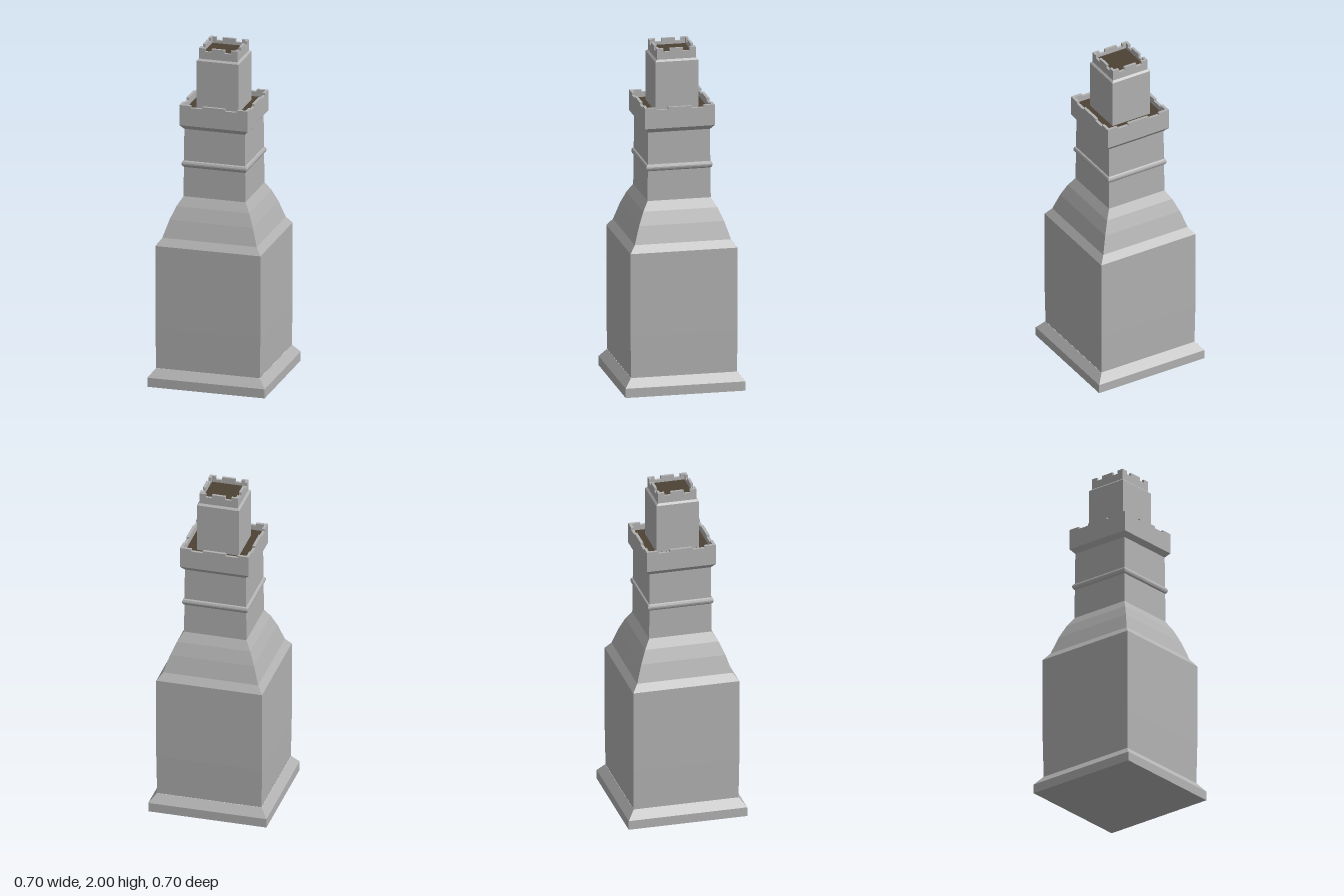
import * as THREE from 'three';

const stone = new THREE.MeshStandardMaterial({ color: 0xb2b2b2 });
stone.name = 'stone';
const roof = new THREE.MeshStandardMaterial({ color: 0x4c4235 });
roof.name = 'dark roof';

function part(name, geometry, material = stone) {
  const mesh = new THREE.Mesh(geometry, material);
  mesh.name = name;
  return mesh;
}

// Square tower section from a profile of [half width, height] pairs
function squareLoft(name, profile) {
  const points = profile.map(([half, y]) => new THREE.Vector2(half * Math.SQRT2, y));
  const geometry = new THREE.LatheGeometry(points, 4, Math.PI / 4).toNonIndexed();
  geometry.computeVertexNormals();
  return part(name, geometry);
}

// Flat square floor inside a parapet
function floor(name, half, y) {
  const geometry = new THREE.PlaneGeometry(half * 2, half * 2).rotateX(-Math.PI / 2);
  return part(name, geometry.translate(0, y, 0), roof);
}

// Corner and middle merlons standing on a square parapet
function battlements(name, outer, inner, cornerStart, middleHalf, y, height) {
  const group = new THREE.Group();
  group.name = name;
  const corner = new THREE.Shape([
    [outer, outer], [cornerStart, outer], [cornerStart, inner],
    [inner, inner], [inner, cornerStart], [outer, cornerStart],
  ].map(([x, z]) => new THREE.Vector2(x, z)));
  const cornerGeometry = new THREE.ExtrudeGeometry(corner, { depth: height, bevelEnabled: false });
  cornerGeometry.rotateX(-Math.PI / 2).translate(0, y, 0);
  const middleGeometry = new THREE.BoxGeometry(middleHalf * 2, height, outer - inner);
  middleGeometry.translate(0, y + height / 2, (outer + inner) / 2);
  for (let i = 0; i < 4; i++) {
    const cornerMerlon = part('cornerMerlon', cornerGeometry);
    const middleMerlon = part('middleMerlon', middleGeometry);
    cornerMerlon.rotation.y = middleMerlon.rotation.y = i * Math.PI / 2;
    group.add(cornerMerlon, middleMerlon);
  }
  return group;
}

export function createModel() {
  const model = new THREE.Group();
  model.name = 'tower';

  // Plinth, slightly swelling main block and curved shoulder
  model.add(squareLoft('plinth', [[0, 0], [0.352, 0], [0.352, 0.055], [0.312, 0.105]]));
  model.add(squareLoft('mainBlock', [[0.311, 0.105], [0.315, 0.35], [0.315, 0.845]]));
  model.add(squareLoft('shoulder', [
    [0.315, 0.845], [0.283, 0.888], [0.25, 0.99], [0.218, 1.065], [0.186, 1.118],
  ]));

  // Shaft with its moulded band
  model.add(squareLoft('shaft', [[0.186, 1.118], [0.184, 1.29], [0.182, 1.525]]));
  model.add(squareLoft('band', [
    [0.183, 1.294], [0.191, 1.302], [0.195, 1.312], [0.195, 1.32], [0.191, 1.33], [0.183, 1.335],
  ]));

  // Flared lower parapet
  model.add(squareLoft('lowerParapet', [
    [0.182, 1.525], [0.205, 1.552], [0.205, 1.662], [0.188, 1.662], [0.188, 1.63],
  ]));
  model.add(battlements('lowerBattlements', 0.205, 0.188, 0.138, 0.068, 1.662, 0.013));
  model.add(floor('lowerRoof', 0.188, 1.632));

  // Upper turret with its own parapet
  model.add(squareLoft('turret', [[0.126, 1.63], [0.126, 1.925], [0.115, 1.936]]));
  model.add(squareLoft('upperParapet', [
    [0.115, 1.936], [0.115, 1.98], [0.1, 1.98], [0.1, 1.96],
  ]));
  model.add(battlements('upperBattlements', 0.115, 0.1, 0.076, 0.039, 1.98, 0.02));
  model.add(floor('upperRoof', 0.1, 1.963));

  return model;
}
